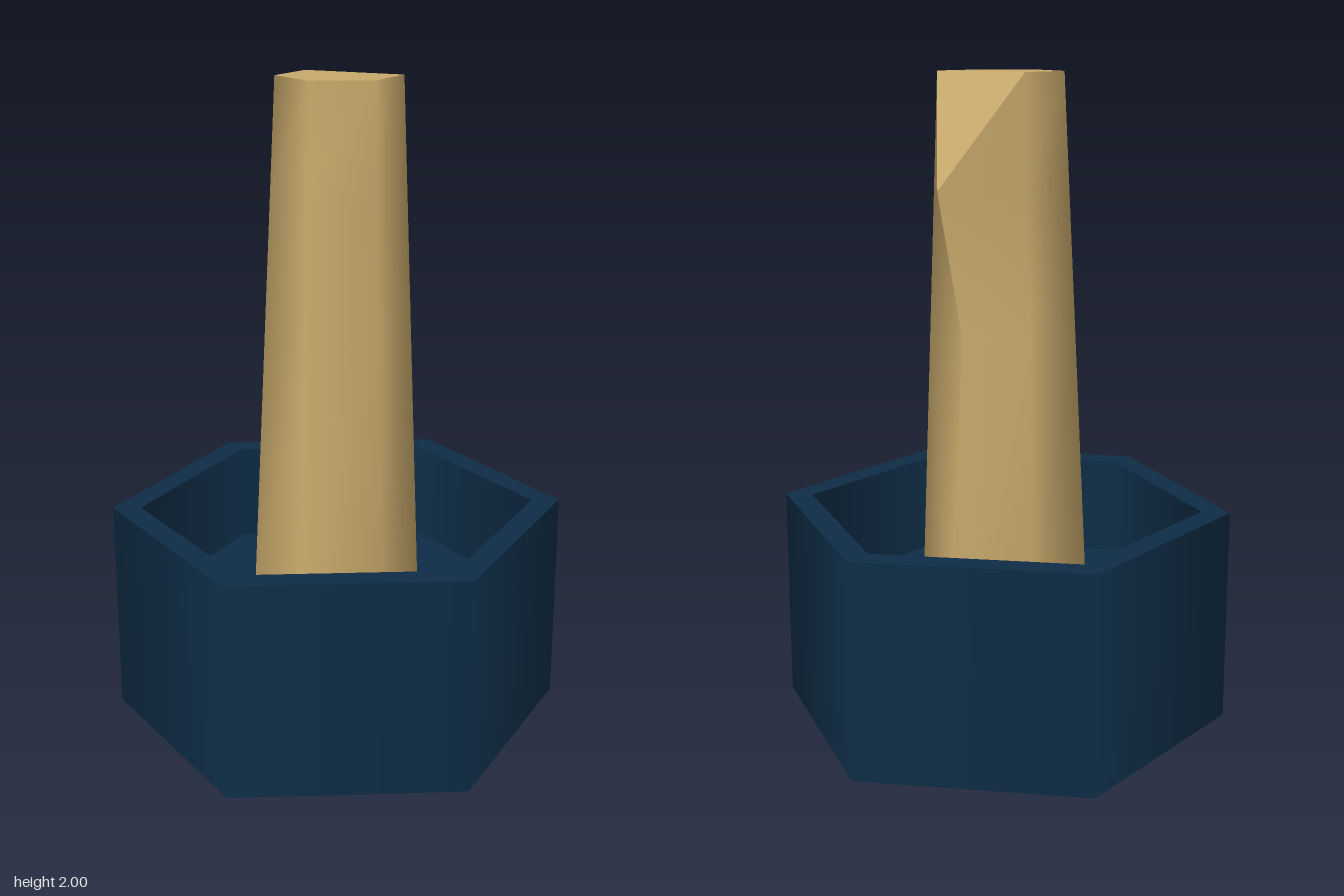
import * as THREE from 'three';
import { toCreasedNormals } from 'three/addons/utils/BufferGeometryUtils.js';

const TURN = -0.113;   // twist of the hexagon about y
const RIM = 0.67, FLOOR = 0.35, OUTER = 0.705, INNER = 0.618;

const navy = new THREE.MeshStandardMaterial({ color: 0x0e2d47, side: THREE.DoubleSide });
navy.name = 'navy';
const tan = new THREE.MeshStandardMaterial({ color: 0xc9aa6c });
tan.name = 'tan';

function add(group, name, geometry, material, y = 0) {
  const mesh = new THREE.Mesh(geometry, material);
  mesh.name = name;
  mesh.position.y = y;
  group.add(mesh);
}

const wall = (r, h) => new THREE.CylinderGeometry(r, r, h, 6, 1, true, TURN);

function triangles(corners) {
  const g = new THREE.BufferGeometry();
  g.setAttribute('position', new THREE.Float32BufferAttribute(corners.flat(), 3));
  return g;
}

// Six-sided tapering post; its last corner swells into a pointed spur under a slanted cut
function addPost(group) {
  const base = [[-0.03, 0.26], [0.21, 0.152], [0.24, -0.105], [0.027, -0.261], [-0.214, -0.158], [-0.24, 0.104]];
  const tip = [[-0.004, 0.176], [0.166, 0.105], null, [0.032, -0.192], [-0.138, -0.121], [-0.159, 0.066]];
  const spur = [[0.24, -0.105], [0.183, -0.085], [0.28, -0.127]];
  const levels = [FLOOR, 1.22, 1.67, 2];
  const point = (i, k) => {
    i %= 6;
    const y = levels[k];
    if (i === 2) return [spur[Math.min(k, 2)][0], levels[Math.min(k, 2)], spur[Math.min(k, 2)][1]];
    const t = (y - FLOOR) / (2 - FLOOR);
    return [
      THREE.MathUtils.lerp(base[i][0], tip[i][0], t), y,
      THREE.MathUtils.lerp(base[i][1], tip[i][1], t),
    ];
  };

  const sides = [];
  for (let k = 0; k < 3; k++) {
    for (let i = 0; i < 6; i++) {
      const a = point(i, k), b = point(i + 1, k), c = point(i + 1, k + 1), d = point(i, k + 1);
      // the spur stops below the top, so the last row has single triangles beside it
      if (k === 2 && i === 1) sides.push(a, b, d);
      else if (k === 2 && i === 2) sides.push(a, b, c);
      else if (i === 1) sides.push(a, b, d, b, c, d);
      else sides.push(a, b, c, a, c, d);
    }
  }
  add(group, 'postSides', toCreasedNormals(triangles(sides), 1.2), tan);

  // Flat five-cornered top and the slanted cut down to the spur
  const t = [0, 1, 3, 4, 5].map((i) => point(i, 3));
  const top = triangles([t[0], t[1], t[2], t[0], t[2], t[3], t[0], t[3], t[4]]);
  top.computeVertexNormals();
  add(group, 'postTop', top, tan);
  const cut = triangles([t[1], point(2, 2), t[2]]);
  cut.computeVertexNormals();
  add(group, 'slantedCut', cut, tan);
}

export function createModel() {
  const model = new THREE.Group();
  model.name = 'hexagonalCupWithPost';

  // Hollow hexagonal cup
  const cup = new THREE.Group();
  cup.name = 'cup';
  add(cup, 'outerWall', wall(OUTER, RIM), navy, RIM / 2);
  add(cup, 'innerWall', wall(INNER, RIM - FLOOR), navy, (RIM + FLOOR) / 2);
  add(cup, 'rim', new THREE.RingGeometry(INNER, OUTER, 6, 1, TURN - Math.PI / 2).rotateX(-Math.PI / 2), navy, RIM);
  add(cup, 'floor', new THREE.CircleGeometry(INNER, 6, TURN - Math.PI / 2).rotateX(-Math.PI / 2), navy, FLOOR);
  add(cup, 'underside', new THREE.CircleGeometry(OUTER, 6, Math.PI / 2 - TURN).rotateX(Math.PI / 2), tan);
  model.add(cup);

  const post = new THREE.Group();
  post.name = 'post';
  addPost(post);
  model.add(post);
  return model;
}
